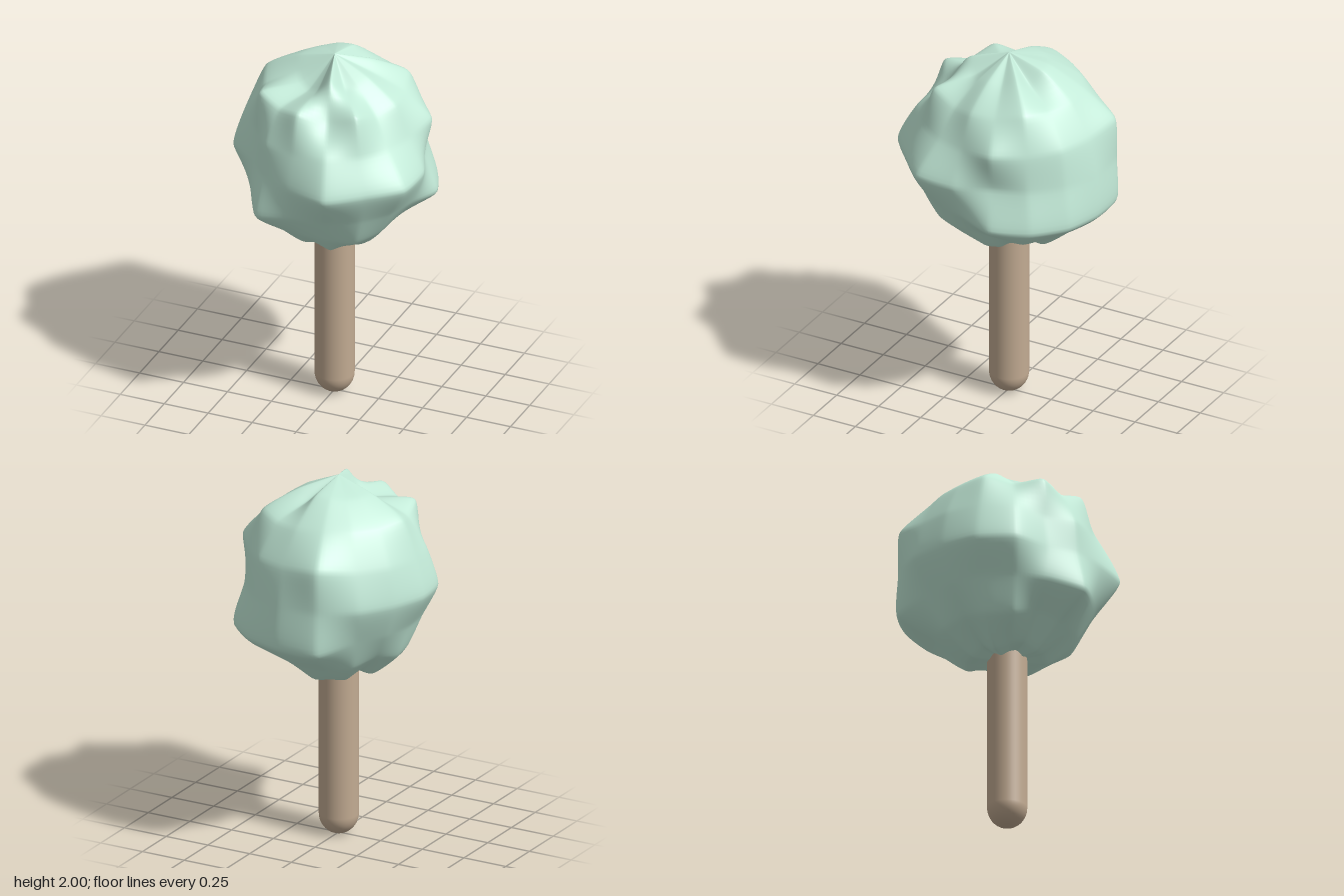
import * as THREE from 'three';

// Crown control net: distance from the crown centre (hundredths),
// 16 columns starting at +x and turning towards +z, one row per polar step of 22.5 degrees
const CENTRE_Y = 1.43;
const FIRST_COLUMN = 5;
const ROWS = [
  [52, 50, 49, 56, 48, 45, 47, 50, 55, 55, 55, 56, 56, 50, 55, 51],
  [51, 48, 56, 48, 57, 52, 57, 52, 57, 55, 55, 56, 55, 54, 57, 52],
  [48, 48, 50, 53, 50, 50, 46, 51, 53, 53, 54, 61, 55, 54, 52, 55],
  [53, 58, 55, 59, 51, 48, 45, 53, 54, 53, 55, 57, 55, 53, 50, 47],
  [50, 50, 50, 50, 50, 57, 49, 48, 48, 49, 51, 62, 61, 61, 60, 58],
  [48, 50, 52, 50, 49, 50, 45, 51, 52, 49, 53, 54, 54, 52, 53, 49],
  [53, 52, 50, 53, 50, 52, 48, 50, 54, 50, 54, 54, 55, 50, 48, 52],
];
const TENSION = 0.28;

function crownGeometry(around = 128, up = 64) {
  const rings = ROWS.map((row, k) => new THREE.CatmullRomCurve3(row.map((r, i) => {
    const point = new THREE.Vector3().setFromSphericalCoords(
      r / 100, (k + 1) * Math.PI / 8,
      Math.PI / 2 - THREE.MathUtils.degToRad(FIRST_COLUMN + i * 22.5));
    point.y += CENTRE_Y;
    return point;
  }), true, 'catmullrom', TENSION));

  const positions = [], index = [];
  for (let i = 0; i < around; i++) {
    // Meridian from the tip to the underside
    const meridian = new THREE.CatmullRomCurve3([
      new THREE.Vector3(0, 2, 0),
      ...rings.map((ring) => ring.getPoint(i / around)),
      new THREE.Vector3(0, 0.96, 0),
    ], false, 'catmullrom', TENSION);
    for (let j = 0; j <= up; j++) positions.push(...meridian.getPoint(j / up).toArray());
  }
  for (let i = 0; i < around; i++) {
    const a = i * (up + 1), b = ((i + 1) % around) * (up + 1);
    for (let j = 0; j < up; j++) {
      if (j > 0) index.push(a + j, b + j, a + j + 1);
      if (j < up - 1) index.push(a + j + 1, b + j, b + j + 1);
    }
  }
  const geometry = new THREE.BufferGeometry();
  geometry.setAttribute('position', new THREE.Float32BufferAttribute(positions, 3));
  geometry.setIndex(index);
  geometry.computeVertexNormals();
  return geometry;
}

export function createModel() {
  const group = new THREE.Group();

  const crown = new THREE.Mesh(crownGeometry(), new THREE.MeshStandardMaterial({ color: 0xc2e9d7 }));
  crown.name = 'crown';

  const bark = new THREE.MeshStandardMaterial({ color: 0xc2ab92 });
  const trunk = new THREE.Mesh(new THREE.CylinderGeometry(0.105, 0.105, 0.9, 40), bark);
  trunk.position.y = 0.11 + 0.45;
  trunk.name = 'trunk';

  // Rounded foot below the trunk
  const foot = new THREE.Mesh(
    new THREE.SphereGeometry(0.105, 40, 12, 0, Math.PI * 2, Math.PI / 2, Math.PI / 2), bark);
  foot.scale.y = 0.11 / 0.105;
  foot.position.y = 0.11;
  foot.name = 'trunkFoot';

  group.add(crown, trunk, foot);
  return group;
}
